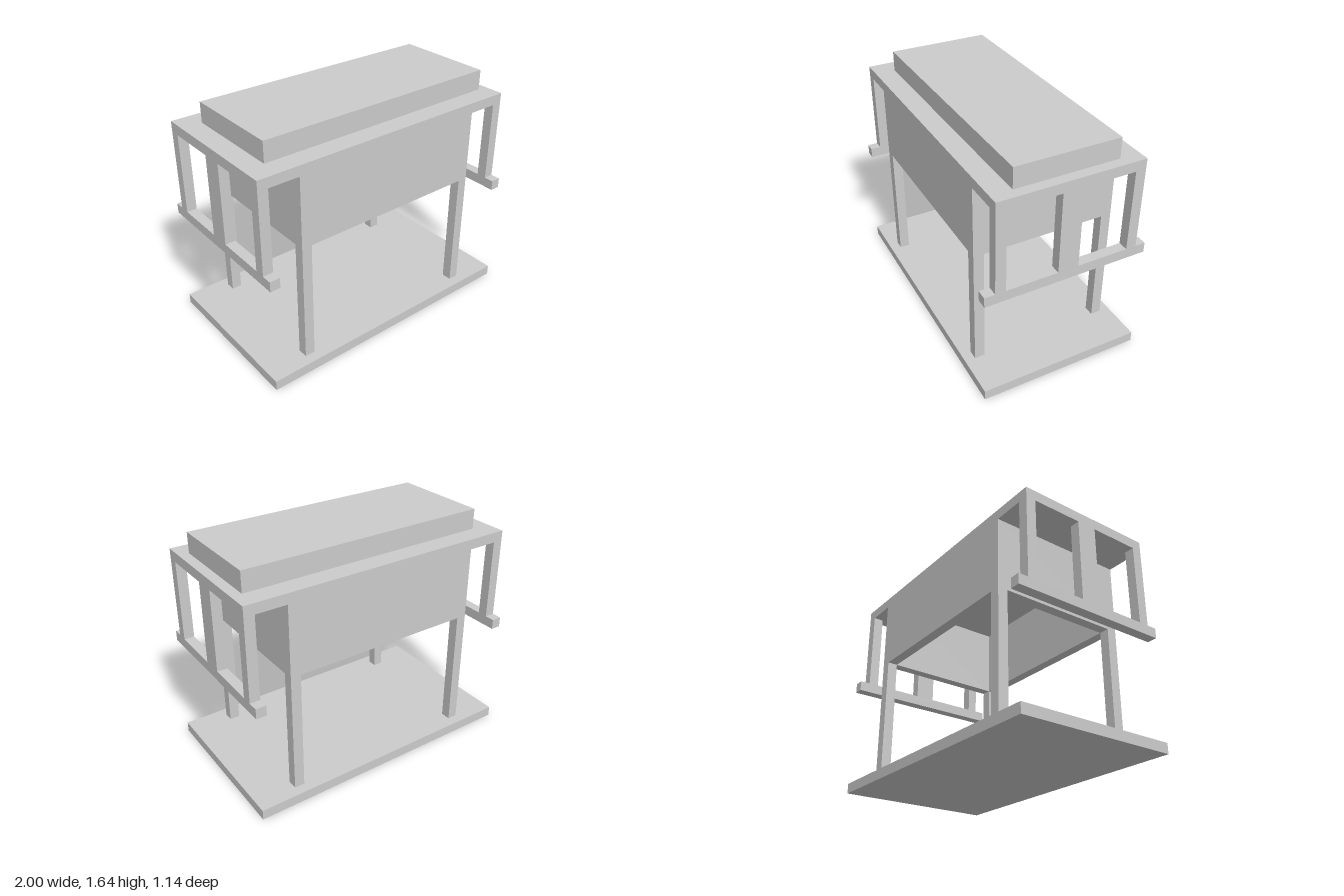
import * as THREE from 'three';

const U = 1 / 14; // module size: every part is a whole number of these

export function createModel() {
  const model = new THREE.Group();
  model.name = 'raisedCabinet';
  const material = new THREE.MeshStandardMaterial({ color: 0xcccccc, flatShading: true });

  // Box from its min and max corners, in modules
  function box(name, [x0, y0, z0], [x1, y1, z1], parent = model) {
    const geometry = new THREE.BoxGeometry((x1 - x0) * U, (y1 - y0) * U, (z1 - z0) * U);
    const mesh = new THREE.Mesh(geometry, material);
    mesh.position.set((x0 + x1) / 2 * U, (y0 + y1) / 2 * U, (z0 + z1) / 2 * U);
    mesh.name = name;
    parent.add(mesh);
    return mesh;
  }

  // Counter-clockwise rectangle centred on the origin
  function rectangle(path, halfX, halfY) {
    path.moveTo(-halfX * U, -halfY * U);
    path.lineTo(halfX * U, -halfY * U);
    path.lineTo(halfX * U, halfY * U);
    path.lineTo(-halfX * U, halfY * U);
    path.closePath();
    return path;
  }

  // Ground slab
  box('base', [-14, 0, -8], [14, 1, 8]);

  // Four legs
  for (const x of [-10, 9]) {
    for (const z of [-7, 6]) box('leg', [x, 1, z], [x + 1, 13, z + 1]);
  }

  // Body: four walls, open underneath
  const outline = rectangle(new THREE.Shape(), 10, 7);
  outline.holes.push(rectangle(new THREE.Path(), 9, 6));
  const walls = new THREE.ExtrudeGeometry(outline, { depth: 7 * U, bevelEnabled: false });
  walls.rotateX(-Math.PI / 2);
  const body = new THREE.Mesh(walls, material);
  body.position.y = 13 * U;
  body.name = 'bodyWalls';
  model.add(body);

  // Overhanging deck and the slightly offset lid
  box('deck', [-14, 20, -7], [14, 21, 7]);
  box('lid', [-12, 21, -5], [13, 23, 5]);

  // Hanging end frames: three posts and a rail each
  for (const [name, x] of [['rightFrame', -14], ['leftFrame', 13]]) {
    const frame = new THREE.Group();
    frame.name = name;
    for (const [z0, z1] of [[-7, -6], [-1, 1], [6, 7]]) {
      box('post', [x, 12, z0], [x + 1, 20, z1], frame);
    }
    box('rail', [x, 11, -8], [x + 1, 12, 8], frame);
    model.add(frame);
  }

  return model;
}
